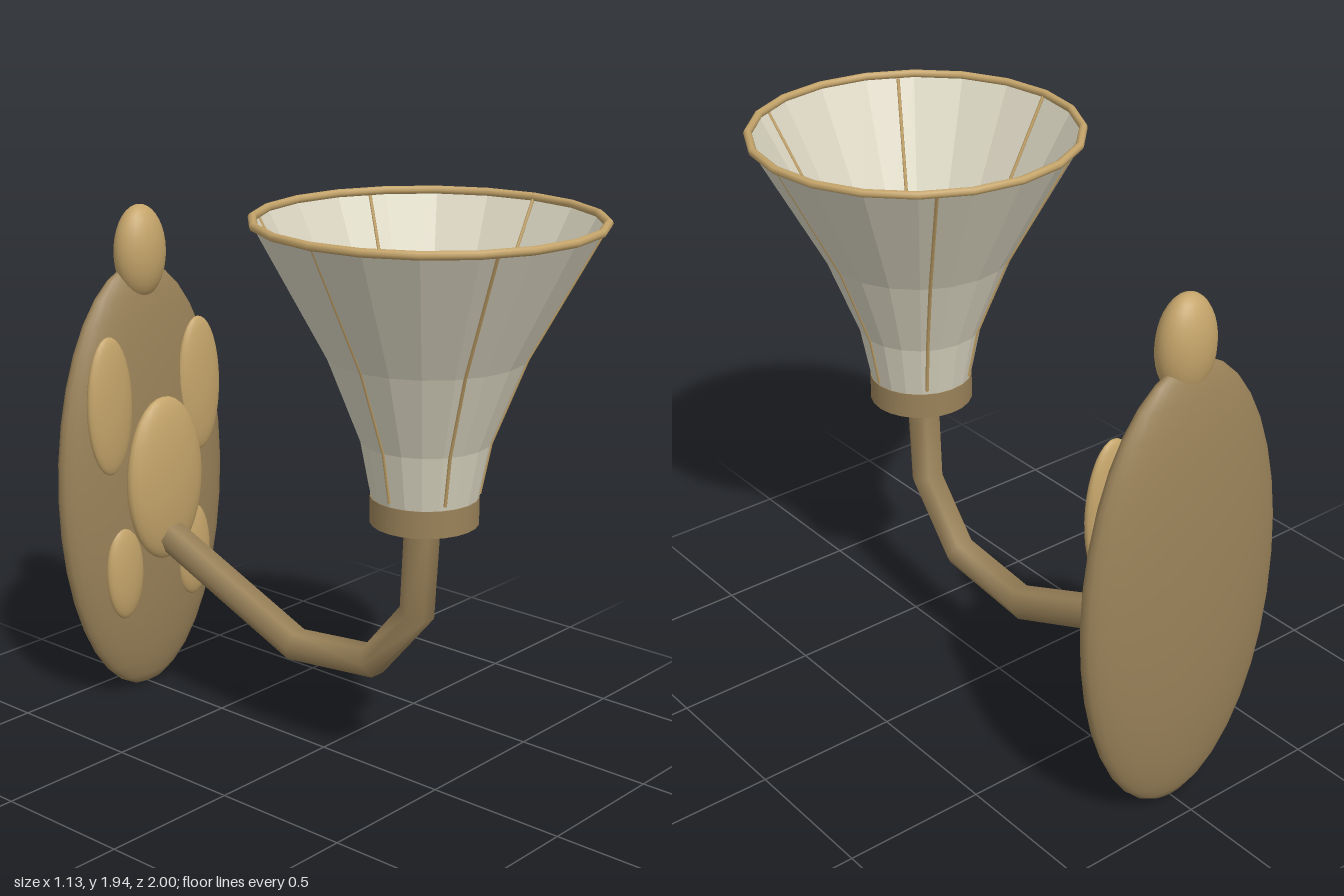
import * as THREE from 'three';

const material = (name, color, extra = {}) => {
  const m = new THREE.MeshStandardMaterial({ color, ...extra });
  m.name = name;
  return m;
};

// Polyline sampled one point per segment, so a tube gets crisp mitred bends
class Polyline extends THREE.Curve {
  constructor(points) {
    super();
    this.points = points;
  }
  getUtoTmapping(u) {
    return u;
  }
  getPoint(t, target = new THREE.Vector3()) {
    const n = this.points.length - 1;
    const i = Math.min(Math.floor(t * n + 1e-9), n - 1);
    return target.lerpVectors(this.points[i], this.points[i + 1], t * n - i);
  }
}

export function createModel() {
  const darkBrass = material('dark brass', 0x9a8259);
  const brightBrass = material('bright brass', 0xc4a46a);
  const glass = material('frosted glass', 0xd9d4c0, { flatShading: true, side: THREE.DoubleSide });
  const bulbWhite = material('bulb white', 0xe6e2d4);

  const model = new THREE.Group();
  model.name = 'wallLamp';
  const lampZ = 0.435;

  const add = (name, geometry, mat, x = 0, y = 0, z = 0) => {
    const mesh = new THREE.Mesh(geometry, mat);
    mesh.name = name;
    mesh.position.set(x, y, z);
    model.add(mesh);
    return mesh;
  };
  const ellipsoid = (name, mat, [x, y, z], [rx, ry, rz], segments = 24) =>
    add(name, new THREE.SphereGeometry(1, segments, 18).scale(rx, ry, rz), mat, x, y, z);
  const tube = (points, radius, sides) =>
    new THREE.TubeGeometry(new Polyline(points), points.length - 1, radius, sides);

  // Wall plate with its raised ornaments
  ellipsoid('wallPlate', darkBrass, [0, 0.81, -0.89], [0.395, 0.805, 0.106], 32);
  ellipsoid('finial', brightBrass, [0, 1.655, -0.868], [0.105, 0.168, 0.077]);
  ellipsoid('centreBoss', brightBrass, [0, 0.835, -0.77], [0.18, 0.305, 0.06]);
  for (const [side, s] of [['left', 1], ['right', -1]]) {
    ellipsoid(side + 'UpperBoss', brightBrass, [s * 0.22, 1.14, -0.81], [0.103, 0.252, 0.036]);
    ellipsoid(side + 'LowerBoss', brightBrass, [s * 0.172, 0.51, -0.81], [0.085, 0.18, 0.036]);
  }

  // Bent six-sided arm from the plate up to the cup
  const armPath = [[0.67, -0.86], [0.36, -0.13], [0.396, 0.22], [0.62, 0.41], [0.98, 0.43]]
    .map(([y, z]) => new THREE.Vector3(0, y, z));
  add('arm', tube(armPath, 0.06, 6), darkBrass);

  // Cup and bulb
  add('cup', new THREE.CylinderGeometry(0.178, 0.178, 0.09, 24), darkBrass, 0, 0.99, lampZ);
  ellipsoid('bulb', bulbWhite, [0, 1.14, lampZ], [0.125, 0.125, 0.125]);

  // Flared twenty-sided shade, open at the top
  const profile = [[0.175, 1.03], [0.212, 1.22], [0.322, 1.5], [0.552, 1.925]];
  const shadePoints = profile.map(([r, y]) => new THREE.Vector2(r, y));
  add('shade', new THREE.LatheGeometry(shadePoints, 20), glass, 0, 0, lampZ);

  // Rim ring
  const rim = new THREE.TorusGeometry(0.551, 0.014, 8, 20).rotateX(Math.PI / 2);
  add('rim', rim, brightBrass, 0, 1.927, lampZ);

  // Six thin ribs following the shade
  const ribPoints = [[0.179, 1.05], ...profile.slice(1)]
    .map(([r, y]) => new THREE.Vector3(0, y, r * 0.99));
  const ribGeometry = tube(ribPoints, 0.006, 6);
  for (let i = 0; i < 6; i++) {
    const rib = add('rib' + (i + 1), ribGeometry, brightBrass, 0, 0, lampZ);
    rib.rotation.y = Math.PI / 6 + (i * Math.PI) / 3;
  }

  return model;
}
